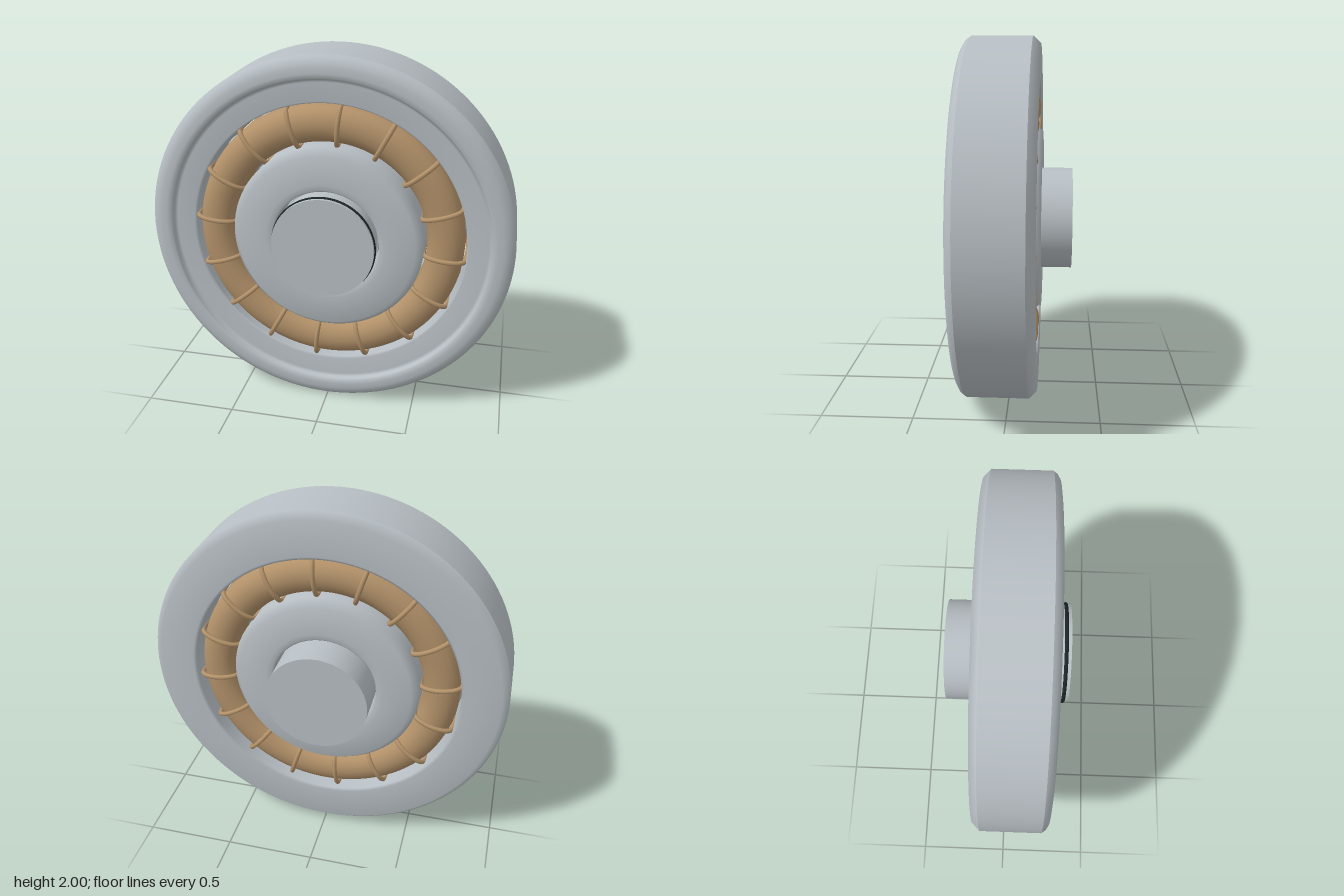
import * as THREE from 'three';

export function createModel() {
  const steel = new THREE.MeshStandardMaterial({ name: 'steel', color: 0xb8bfc4 });
  const bronze = new THREE.MeshStandardMaterial({ name: 'bronze', color: 0xb3926a });
  const rubber = new THREE.MeshStandardMaterial({ name: 'black rubber', color: 0x1c2526 });

  const group = new THREE.Group();
  const wheel = new THREE.Group();
  wheel.name = 'wheel';
  wheel.position.y = 1;
  group.add(wheel);

  const MID = 0.045;  // middle plane of the bearing
  const PITCH = 0.635; // radius of the cage centre line
  const COUNT = 16;

  function add(name, geometry, material, parent = wheel) {
    const mesh = new THREE.Mesh(geometry, material);
    mesh.name = name;
    parent.add(mesh);
    return mesh;
  }

  // Turned part: points are [radius, z], counter-clockwise; a repeated point makes a sharp edge
  function turned(name, points, material) {
    const geometry = new THREE.LatheGeometry(points.map(([r, z]) => new THREE.Vector2(r, z)), 128);
    geometry.rotateX(Math.PI / 2);
    return add(name, geometry, material);
  }

  // Slot-shaped section with rounded ends, as [radial, z] offsets
  function slotSection(halfWidth, halfDepth, round, steps = 8) {
    const points = [];
    for (const side of [-1, 1]) {
      for (let i = 0; i <= steps; i++) {
        const t = Math.PI * i / steps;
        points.push([
          -side * -halfWidth * Math.cos(t),
          side * (halfDepth - round + round * Math.sin(t)),
        ]);
      }
    }
    return points;
  }

  // Outer ring: chamfered rim, raised bead and a slightly sunken front face
  turned('outerRing', [
    [0.75, 0.2], [0.75, -0.15], [0.765, -0.16],
    [0.96, -0.16], [1, -0.12], [1, -0.12],
    [1, 0.21], [1, 0.21], [0.985, 0.232], [0.96, 0.247],
    [0.94, 0.25], [0.91, 0.254], [0.885, 0.25],
    [0.88, 0.24], [0.875, 0.222], [0.86, 0.215],
    [0.76, 0.215], [0.75, 0.2],
  ], steel);

  // Inner ring: flat faces with a soft bore edge and chamfered outside
  turned('innerRing', [
    [0.291, 0.255], [0.291, -0.165], [0.3, -0.173], [0.33, -0.175],
    [0.485, -0.175], [0.525, -0.125],
    [0.525, 0.215], [0.485, 0.265],
    [0.33, 0.265], [0.3, 0.263], [0.291, 0.255],
  ], steel);

  // Shaft through the hub, with a shallow neck behind the seal
  turned('shaft', [
    [0, -0.34], [0.28, -0.34], [0.28, -0.34],
    [0.28, 0.2], [0.28, 0.2], [0.275, 0.2], [0.275, 0.2],
    [0.275, 0.3], [0.275, 0.3], [0.278, 0.3], [0.278, 0.3],
    [0.278, 0.34], [0.278, 0.34], [0, 0.34],
  ], steel);
  add('shaftSeal', new THREE.TorusGeometry(0.273, 0.012, 10, 96), rubber).position.z = 0.312;

  // Cage ring: deep slot section swept around the axis
  const cageSection = slotSection(0.1, 0.185, 0.08).map(([r, z]) => [PITCH + r, MID + z]);
  turned('cageRing', [...cageSection, cageSection[0]], bronze);

  // Wire bands wrapped around the cage, with bearing balls between them
  const bandPath = new THREE.CatmullRomCurve3(
    slotSection(0.112, 0.193, 0.06).map(([r, z]) => new THREE.Vector3(r, 0, z)), true);
  const bandGeometry = new THREE.TubeGeometry(bandPath, 64, 0.013, 8, true);
  const ballGeometry = new THREE.SphereGeometry(0.112, 24, 16);
  const step = 2 * Math.PI / COUNT;
  for (let i = 0; i < COUNT; i++) {
    const angle = THREE.MathUtils.degToRad(84.6) + i * step;
    const band = add('cageBand', bandGeometry, bronze);
    band.position.set(PITCH * Math.cos(angle), PITCH * Math.sin(angle), MID);
    band.rotation.z = angle;
    const ball = add('bearingBall', ballGeometry, steel);
    ball.position.set(PITCH * Math.cos(angle + step / 2), PITCH * Math.sin(angle + step / 2), MID);
  }

  return group;
}
